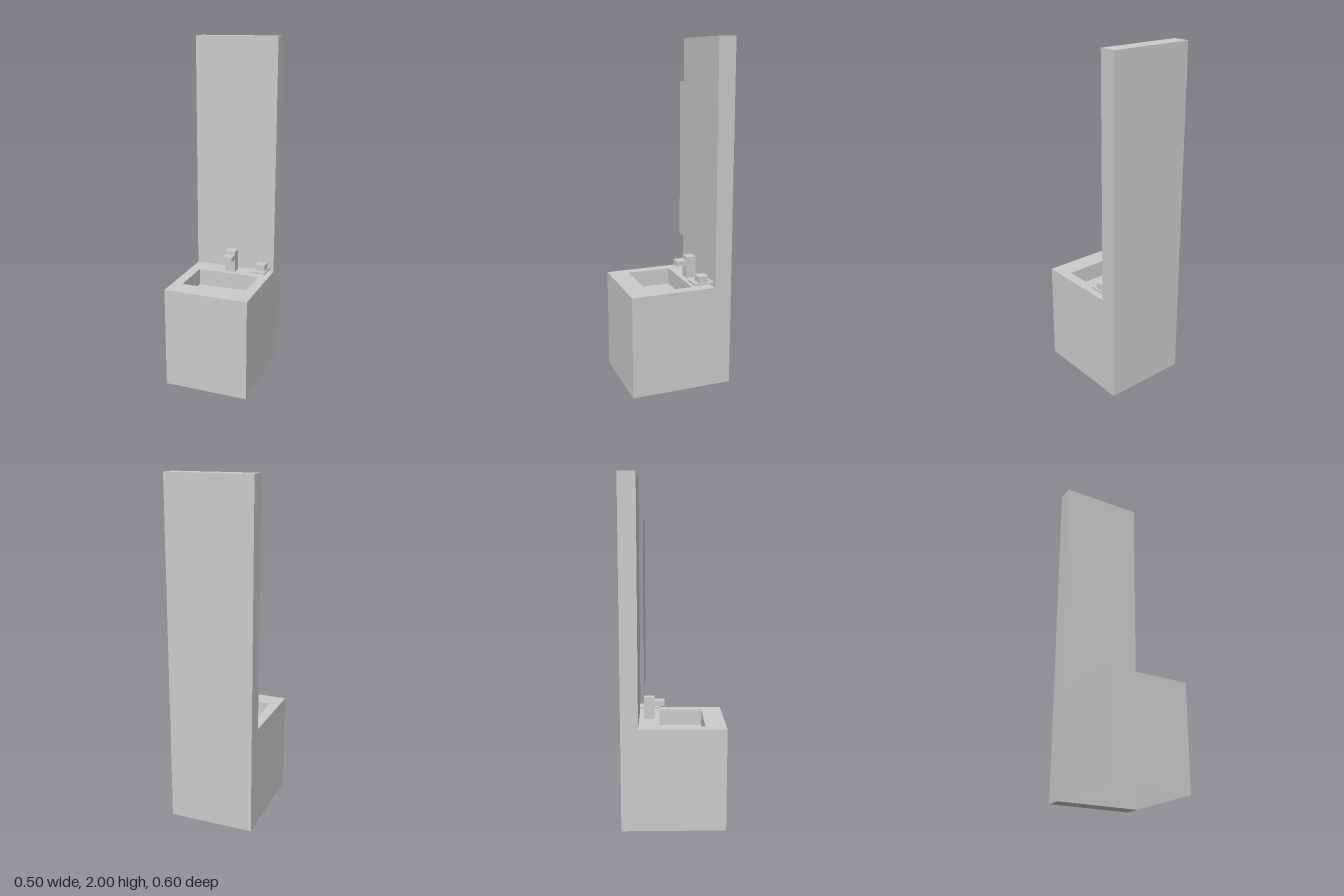
import * as THREE from 'three';

const solid = new THREE.MeshStandardMaterial({ color: 0xcccccc });
const sheet = new THREE.MeshStandardMaterial({ color: 0xcccccc, side: THREE.DoubleSide });

// Face order inside a BoxGeometry
const FACES = ['right', 'left', 'top', 'bottom', 'front', 'back'];

// Box given by its extents; faces listed in `open` are left out
function box(name, [x0, x1], [y0, y1], [z0, z1], open = []) {
  const geo = new THREE.BoxGeometry(x1 - x0, y1 - y0, z1 - z0);
  if (open.length) {
    const index = Array.from(geo.index.array);
    geo.setIndex(index.filter((_, i) => !open.includes(FACES[Math.floor(i / 6)])));
    geo.clearGroups();
  }
  geo.translate((x0 + x1) / 2, (y0 + y1) / 2, (z0 + z1) / 2);
  const mesh = new THREE.Mesh(geo, open.length ? sheet : solid);
  mesh.name = name;
  return mesh;
}

// Rectangle path in the x/z plane, with shape y standing for -z
function rect(path, [x0, x1], [z0, z1]) {
  path.moveTo(x0, -z1).lineTo(x1, -z1).lineTo(x1, -z0).lineTo(x0, -z0).closePath();
  return path;
}

export function createModel() {
  const model = new THREE.Group();
  model.name = 'washstand';

  const width = [-0.25, 0.25];
  const basinX = [-0.19, 0.19];
  const basinZ = [-0.08, 0.18];
  const counterY = 0.6;

  // Tall back panel
  model.add(box('backPanel', width, [0, 2], [-0.3, -0.2]));

  // Thin cabinet shell, open underneath and against the panel
  model.add(box('cabinet', width, [0, counterY], [-0.2, 0.3], ['top', 'bottom', 'back']));

  // Counter with the basin cut-out
  const top = rect(new THREE.Shape(), width, [-0.2, 0.3]);
  top.holes.push(rect(new THREE.Path(), basinX, basinZ));
  const counter = new THREE.Mesh(new THREE.ShapeGeometry(top).rotateX(-Math.PI / 2), sheet);
  counter.name = 'counter';
  counter.position.y = counterY;
  model.add(counter);

  // Sunken basin
  model.add(box('basin', basinX, [counterY - 0.1, counterY], basinZ, ['top']));

  // Mirror sheet standing just off the panel
  const mirror = new THREE.Mesh(new THREE.PlaneGeometry(0.44, 0.935), sheet);
  mirror.name = 'mirror';
  mirror.position.set(0, 1.2825, -0.165);
  model.add(mirror);

  // Faucet: square post and short spout
  const faucet = new THREE.Group();
  faucet.name = 'faucet';
  faucet.add(
    box('faucetPost', [-0.03, 0.03], [counterY, 0.73], [-0.17, -0.11]),
    box('faucetSpout', [-0.03, 0.03], [0.68, 0.71], [-0.11, -0.05])
  );
  model.add(faucet);

  // Soap on its small shelf
  model.add(
    box('soapDish', [0.14, 0.23], [0.618, 0.63], [-0.2, -0.08]),
    box('soap', [0.16, 0.22], [0.63, 0.665], [-0.17, -0.11])
  );

  return model;
}
